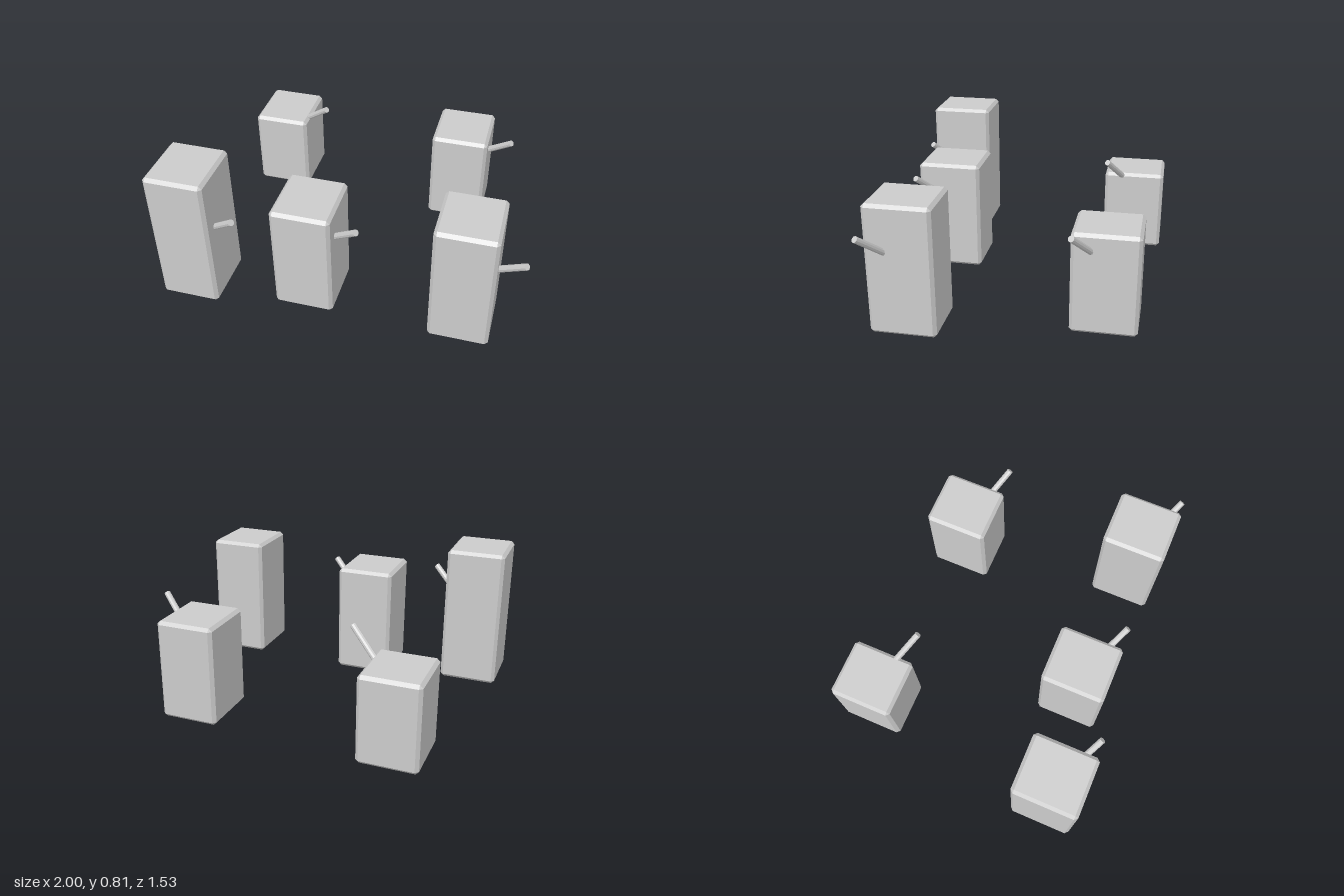
import * as THREE from 'three';
import { ConvexGeometry } from 'three/addons/geometries/ConvexGeometry.js';

const WIDTH = 0.332, DEPTH = 0.364, BEVEL = 0.018;
const material = new THREE.MeshStandardMaterial({ color: 0xcccccc, flatShading: true });

// Box standing on y = 0 with every edge chamfered: three points around each corner.
function chamferedBox(w, h, d, b) {
  const points = [];
  for (const sx of [-1, 1]) for (const sy of [-1, 1]) for (const sz of [-1, 1]) {
    for (const axis of ['x', 'y', 'z']) {
      const p = new THREE.Vector3(w / 2 - b, h / 2 - b, d / 2 - b);
      p[axis] += b;
      points.push(p.multiply(new THREE.Vector3(sx, sy, sz)));
    }
  }
  return new ConvexGeometry(points).translate(0, h / 2, 0);
}

// Straight rod between two points.
function rod(from, to, radius) {
  const dir = to.clone().sub(from);
  const mesh = new THREE.Mesh(new THREE.CylinderGeometry(radius, radius, dir.length(), 10), material);
  mesh.position.copy(from).add(to).multiplyScalar(0.5);
  mesh.quaternion.setFromUnitVectors(new THREE.Vector3(0, 1, 0), dir.normalize());
  return mesh;
}

// One pillar with a slanted lever on its left side.
function makePillar(x, z, height) {
  const pillar = new THREE.Group();
  const body = new THREE.Mesh(chamferedBox(WIDTH, height, DEPTH, BEVEL), material);
  body.name = 'pillarBody';
  const face = WIDTH / 2;
  const tip = new THREE.Vector3(face + 0.137, 0.604, 0.16);
  const root = new THREE.Vector3(face - 0.02, 0.467, 0.073);
  const lever = rod(root, tip, 0.018);
  lever.name = 'lever';
  pillar.add(body, lever);
  pillar.position.set(x, 0, z);
  return pillar;
}

export function createModel() {
  const model = new THREE.Group();
  model.name = 'leverPillars';
  // x, z, height
  const layout = [
    [-0.834, 0.58, 0.812],
    [-0.189, 0.488, 0.65],
    [0.682, 0.511, 0.732],
    [-0.68, -0.582, 0.49],
    [0.481, -0.516, 0.572],
  ];
  layout.forEach(([x, z, h], i) => {
    const pillar = makePillar(x, z, h);
    pillar.name = `pillar${i + 1}`;
    model.add(pillar);
  });
  return model;
}
